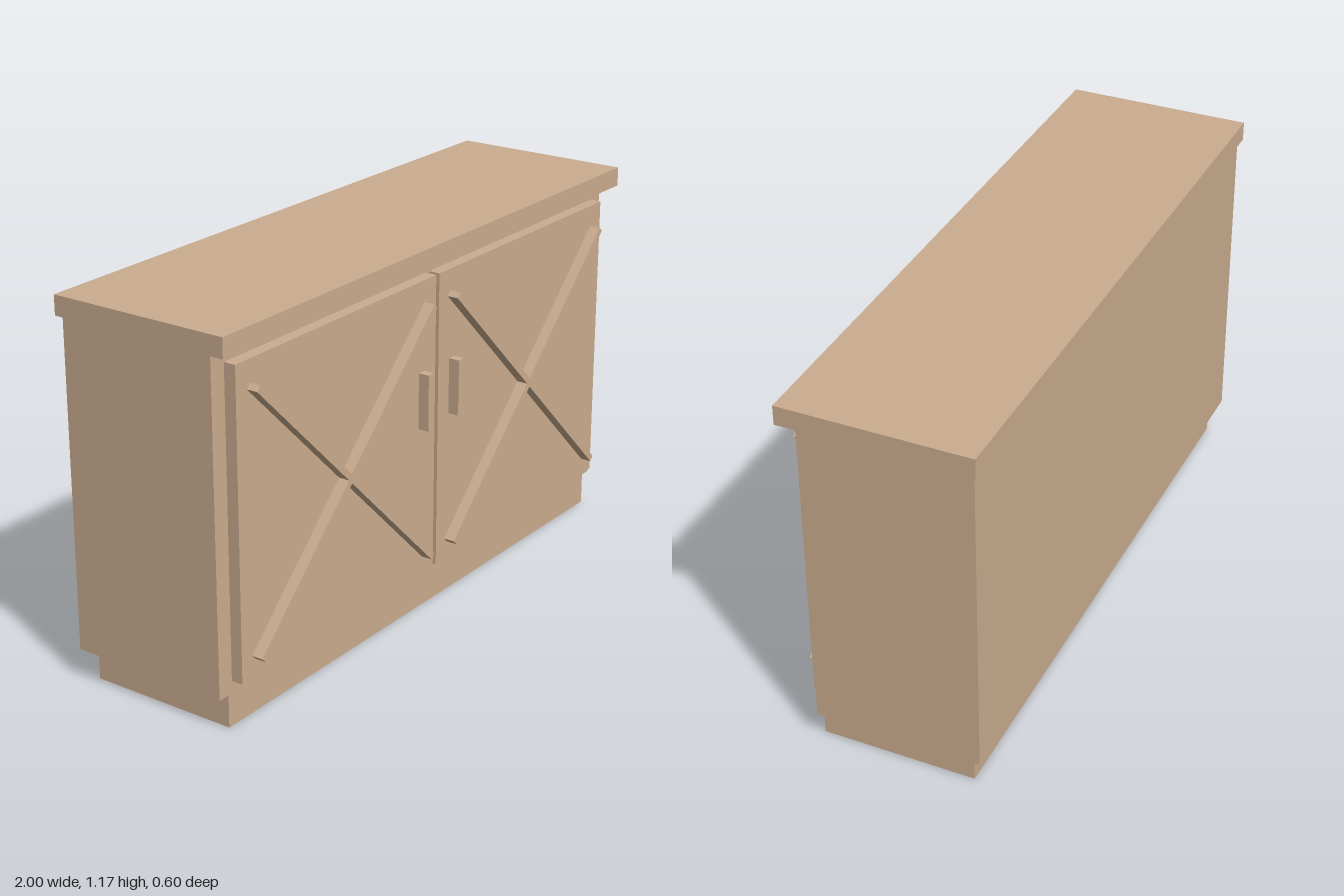
import * as THREE from 'three';

export function createModel() {
  const model = new THREE.Group();
  model.name = 'sideboard';
  const wood = new THREE.MeshStandardMaterial({ color: 0xcbad8f });
  wood.name = 'light wood';

  // Box given by its min and max corners
  const box = (parent, name, [x0, y0, z0], [x1, y1, z1]) => {
    const mesh = new THREE.Mesh(new THREE.BoxGeometry(x1 - x0, y1 - y0, z1 - z0), wood);
    mesh.position.set((x0 + x1) / 2, (y0 + y1) / 2, (z0 + z1) / 2);
    mesh.name = name;
    parent.add(mesh);
    return mesh;
  };

  box(model, 'countertop', [-1, 1.107, -0.298], [1, 1.167, 0.283]);

  // Everything below the top sits a hair off centre
  const cabinet = new THREE.Group();
  cabinet.name = 'cabinet';
  cabinet.position.x = -0.0025;
  model.add(cabinet);
  box(cabinet, 'body', [-0.982, 0.1, -0.285], [0.982, 1.107, 0.228]);
  box(cabinet, 'plinth', [-0.944, 0, -0.25], [0.944, 0.1, 0.228]);

  // Pair of doors, each with a crossed brace and a handle
  for (const [side, s] of [['left', 1], ['right', -1]]) {
    const door = new THREE.Group();
    door.name = side + 'Door';
    cabinet.add(door);
    const span = (a, b) => (s > 0 ? [a, b] : [-b, -a]);

    const [d0, d1] = span(0.008, 0.928);
    box(door, side + 'DoorPanel', [d0, 0.138, 0.228], [d1, 1.068, 0.265]);

    const [h0, h1] = span(0.065, 0.092);
    box(door, side + 'Handle', [h0, 0.615, 0.265], [h1, 0.79, 0.3]);

    for (const tilt of [1, -1]) {
      const brace = new THREE.Mesh(new THREE.BoxGeometry(1.139, 0.02, 0.035), wood);
      brace.name = side + (tilt > 0 ? 'RisingBrace' : 'FallingBrace');
      brace.position.set(s * 0.468, 0.597, 0.2825);
      brace.rotation.z = tilt * 0.7715;
      door.add(brace);
    }
  }
  return model;
}
